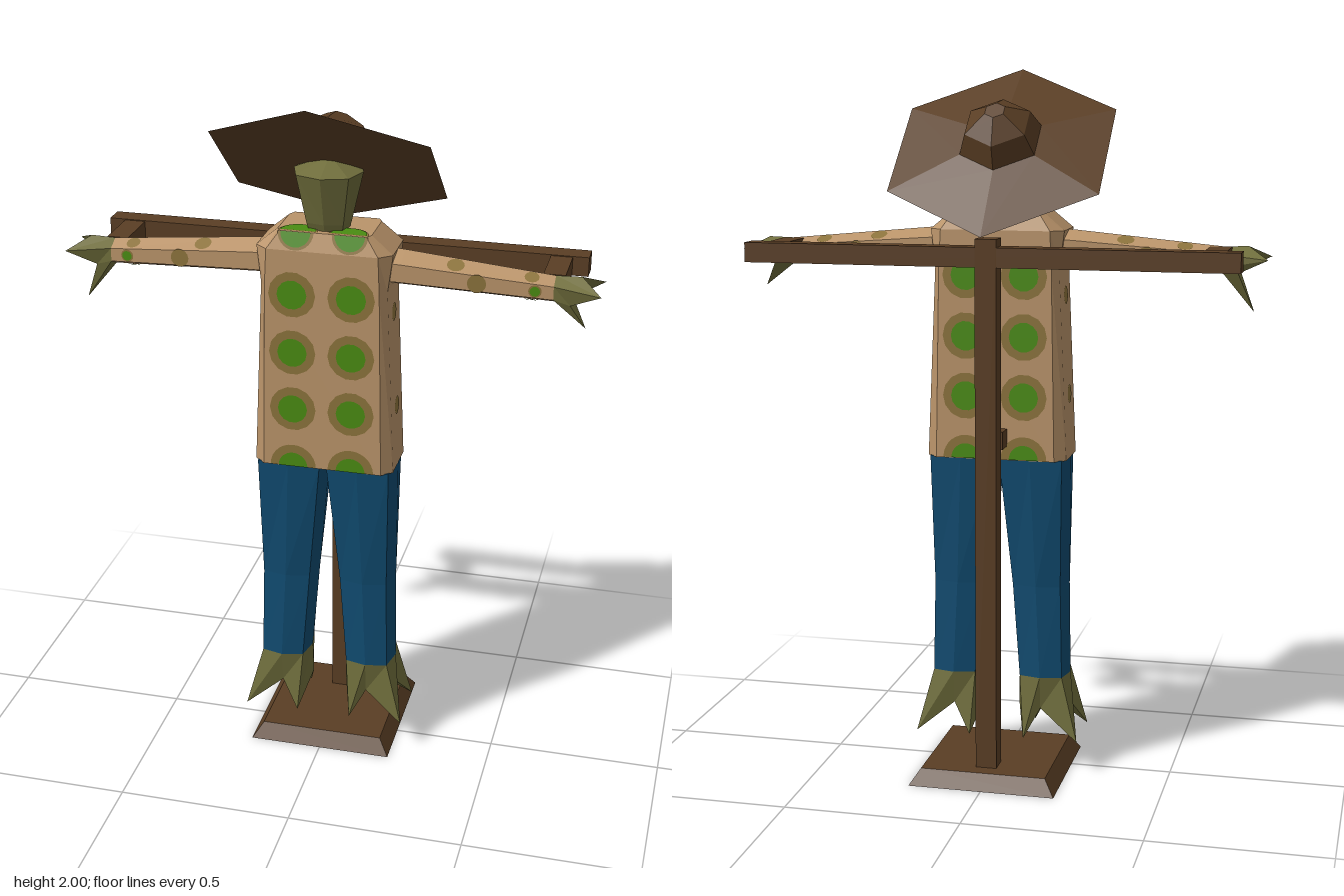
import * as THREE from 'three';

const mat = (name, color) => {
  const m = new THREE.MeshStandardMaterial({ color });
  m.name = name;
  return m;
};

// Flat-shaded closed skin over matching rings of [x, y, z]; the ends close on optional centre points
function loft(rings, startTip, endTip) {
  const n = rings[0].length;
  const mid = r => [0, 1, 2].map(k => r.reduce((s, p) => s + p[k], 0) / n);
  const last = rings[rings.length - 1];
  const a0 = startTip || mid(rings[0]), a1 = endTip || mid(last);
  const tris = [];
  for (let i = 0; i < n; i++) {
    const j = (i + 1) % n;
    for (let k = 0; k + 1 < rings.length; k++) {
      const A = rings[k], B = rings[k + 1];
      tris.push([A[i], A[j], B[j]], [A[i], B[j], B[i]]);
    }
    tris.push([a0, rings[0][j], rings[0][i]], [a1, last[i], last[j]]);
  }
  // Turn the skin outward whichever way the rings run
  const V = p => new THREE.Vector3(...p);
  const volume = tris.reduce((s, [a, b, c]) => s + V(a).dot(V(b).cross(V(c))), 0);
  const pts = tris.flatMap(([a, b, c]) => (volume < 0 ? [a, c, b] : [a, b, c])).map(V);
  const g = new THREE.BufferGeometry().setFromPoints(pts);
  g.computeVertexNormals();
  return g;
}

// Horizontal rings: chamfered box, eight-sided limb, rectangle
const chamfer = (y, hx, fx, hz, sz, cz = 0.0075) =>
  [[hx, sz], [fx, hz], [-fx, hz], [-hx, sz], [-hx, -sz], [-fx, -hz], [fx, -hz], [hx, -sz]]
    .map(([x, z]) => [x, y, z + cz]);
const limb = (cx, y, cz, hx, hz, k = 0.82) =>
  [[1, 0], [k, k], [0, 1], [-k, k], [-1, 0], [-k, -k], [0, -1], [k, -k]]
    .map(([x, z]) => [cx + x * hx, y, cz + z * hz]);
const rect = (y, hx, hz, cz) =>
  [[1, 1], [-1, 1], [-1, -1], [1, -1]].map(([x, z]) => [x * hx, y, cz + z * hz]);

export function createModel() {
  const model = new THREE.Group();
  const wood = mat('brown wood', 0x5a3e24);
  const straw = mat('olive straw', 0x706e3c);
  const shirt = mat('tan shirt', 0xba946a);
  const jeans = mat('blue jeans', 0x104b70);
  const olive = mat('olive spot edge', 0x8c733c);
  const green = mat('green spot', 0x4a8c12);

  const add = (name, geo, material, parent = model) => {
    const mesh = new THREE.Mesh(geo, material);
    mesh.name = name;
    parent.add(mesh);
    return mesh;
  };
  const box = (name, w, h, d, x, y, z) =>
    add(name, new THREE.BoxGeometry(w, h, d), wood).position.set(x, y, z);

  // Stand and cross frame
  add('base', loft([rect(0, 0.21, 0.208, -0.064), rect(0.045, 0.18, 0.18, -0.064)]), wood);
  box('post', 0.06, 1.51, 0.06, 0, 0.795, -0.17);
  box('crossbar', 1.38, 0.055, 0.06, 0, 1.5, -0.17);
  box('waistBrace', 0.07, 0.05, 0.07, 0, 0.985, -0.11);
  for (const s of [-1, 1]) box('armBracket', 0.06, 0.05, 0.15, s * 0.615, 1.5, -0.07);

  // Shirt body
  add('torso', loft([
    chamfer(0.92, 0.2, 0.17, 0.0975, 0.07),
    chamfer(1.46, 0.177, 0.16, 0.0975, 0.07),
    chamfer(1.565, 0.19, 0.155, 0.0955, 0.065),
    chamfer(1.615, 0.13, 0.12, 0.08, 0.06),
  ]), shirt);

  // Thin two-tone spots laid on a surface; start and sweep cut half discs
  const spot = (pos, normal, r, core, start = 0, sweep = Math.PI * 2) => {
    const n = new THREE.Vector3(...normal).normalize();
    const disc = (name, radius, lift, m) => {
      const d = add(name, new THREE.CircleGeometry(radius, 14, start, sweep), m);
      d.quaternion.setFromUnitVectors(new THREE.Vector3(0, 0, 1), n);
      d.position.set(...pos).addScaledVector(n, lift);
    };
    disc('spotEdge', r, 0.002, olive);
    if (core) disc('spotCore', core, 0.004, green);
  };
  for (const s of [-1, 1]) {
    for (const f of [-1, 1]) {
      const z = 0.0075 + f * 0.0975;
      for (const y of [1.1, 1.27, 1.44]) spot([s * 0.083, y, z], [0, 0, f], 0.066, 0.042);
      spot([s * 0.083, 0.922, z], [0, 0, f], 0.066, 0.042, 0, Math.PI);
      spot([s * 0.075, 1.614, 0.0075 + f * 0.08], [0, 0.3, f], 0.05, 0.042, Math.PI, Math.PI);
    }
    spot([s * 0.07, 1.615, 0.086], [0, 1, 0], 0.055, 0.05, 0, Math.PI);
    spot([s * 0.192, 1.1, 0.01], [s, 0.043, 0], 0.026, 0);
    spot([s * 0.18, 1.38, 0.01], [s, 0.043, 0], 0.026, 0);
  }

  for (const s of [-1, 1]) {
    // Sleeve: six-sided taper
    const cuff = (x, y, ry, rz) => [90, 30, -30, -90, -150, 150].map(deg => {
      const a = deg * Math.PI / 180;
      return [s * x, y + Math.sin(a) * ry, 0.01 + Math.cos(a) * rz / 0.866];
    });
    const inner = cuff(0.15, 1.515, 0.052, 0.06), elbow = cuff(0.21, 1.513, 0.05, 0.058);
    const wrist = cuff(0.62, 1.488, 0.037, 0.04);
    add('sleeve', loft([inner, elbow, wrist]), shirt);

    // Spots on the sleeve faces: [face, distance along, radius, core]
    const faces = [[1, 0.5, 0.026, 0], [1, 0.88, 0.018, 0.014], [0, 0.35, 0.024, 0], [0, 0.85, 0.02, 0],
      [5, 0.35, 0.024, 0], [5, 0.75, 0.022, 0], [2, 0.85, 0.02, 0.016], [3, 0.85, 0.02, 0.016],
      [3, 0.45, 0.024, 0], [4, 0.5, 0.024, 0], [4, 0.8, 0.019, 0.014]];
    for (const [i, t, r, core] of faces) {
      const j = (i + 1) % 6, V = p => new THREE.Vector3(...p);
      const a = V(elbow[i]).lerp(V(elbow[j]), 0.5), b = V(wrist[i]).lerp(V(wrist[j]), 0.5);
      const n = b.clone().sub(a).cross(V(elbow[j]).sub(V(elbow[i])));
      const p = a.lerp(b, t);
      if (n.y * (p.y - 1.5) + n.z * (p.z - 0.01) < 0) n.negate();
      spot(p.toArray(), n.toArray(), r, core);
    }

    // Straw hand: three pointed tufts with notches between
    const low = s < 0 ? 1.345 : 1.385;
    add('hand', loft([wrist,
      [[s * 0.69, 1.527, 0.01], [s * 0.748, 1.495, 0.07], [s * 0.665, 1.455, 0.045],
        [s * 0.707, low, 0.02], [s * 0.665, 1.455, -0.025], [s * 0.748, 1.495, -0.055]],
    ], null, [s * 0.65, 1.485, 0.01]), straw);

    // Trouser leg
    const ankle = limb(s * 0.128, 0.28, 0.01, 0.075, 0.083);
    add('trouserLeg', loft([
      limb(s * 0.1, 0.922, 0.0075, 0.1, 0.0975, 0.9),
      limb(s * 0.115, 0.55, 0.0075, 0.084, 0.08),
      ankle,
    ]), jeans);

    // Straw foot: four pointed tufts
    const foot = limb(s * 0.128, 0.185, 0.01, 0.078, 0.07).map((p, i) => {
      if (i % 2 === 0) return p;
      const outer = (p[0] - s * 0.128) * s > 0;
      return [s * (outer ? 0.238 : 0.08), 0.095, p[2] > 0.01 ? 0.098 : -0.076];
    });
    add('foot', loft([ankle, foot], null, [s * 0.128, 0.21, 0.01]), straw);
  }

  // Head with a narrow chin
  add('head', loft([
    limb(0, 1.59, 0.01, 0.05, 0.05),
    limb(0, 1.635, 0.01, 0.062, 0.068),
    limb(0, 1.775, 0.022, 0.096, 0.098, 0.75),
  ], null, [0, 1.81, 0.01]), straw);

  // Six-sided hat, tipped back
  const hat = new THREE.Group();
  hat.name = 'hat';
  hat.position.set(0, 1.78, 0.007);
  hat.rotation.x = -40 * Math.PI / 180;
  model.add(hat);
  const cone = (name, top, bottom, y0, y1) => {
    const g = new THREE.CylinderGeometry(top, bottom, y1 - y0, 6).toNonIndexed();
    g.translate(0, (y0 + y1) / 2, 0);
    g.computeVertexNormals();
    add(name, g, wood, hat);
  };
  cone('brim', 0.12, 0.343, 0, 0.038);
  cone('crown', 0.097, 0.125, 0.03, 0.1);
  cone('crownTop', 0.03, 0.097, 0.1, 0.145);

  return model;
}
